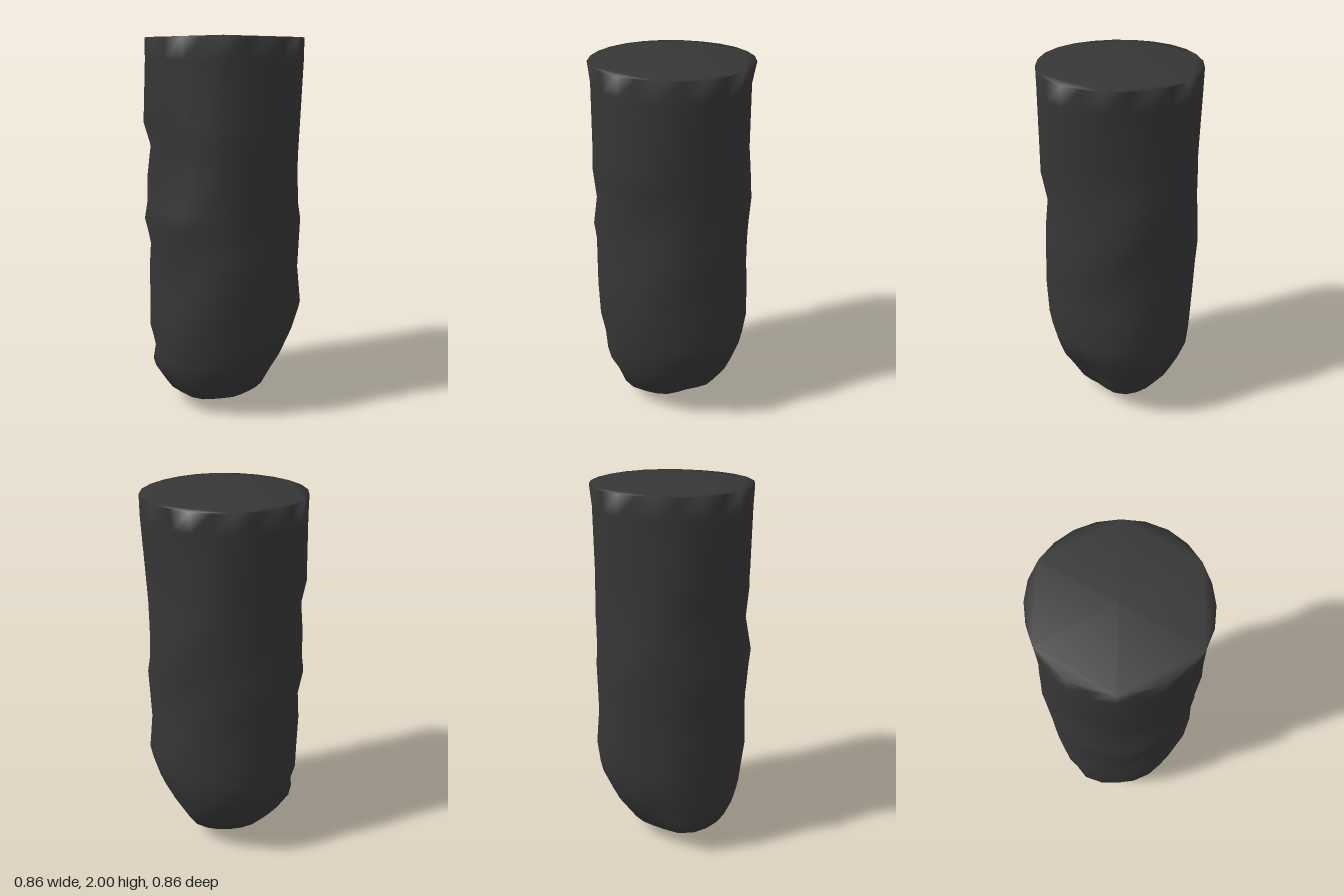
import * as THREE from 'three';

// Cross-sections from top to bottom: height, then the reach at every 45 degrees,
// starting at the front (+z) and turning through +x, -z and -x
const SECTIONS = [
  [1.985, 0.42, 0.41, 0.42, 0.41, 0.405, 0.40, 0.41, 0.41],
  [1.88, 0.405, 0.41, 0.42, 0.385, 0.40, 0.40, 0.41, 0.41],
  [1.55, 0.415, 0.41, 0.405, 0.39, 0.395, 0.395, 0.425, 0.405],
  [1.43, 0.425, 0.41, 0.40, 0.40, 0.395, 0.405, 0.39, 0.40],
  [1.27, 0.405, 0.395, 0.40, 0.415, 0.395, 0.40, 0.41, 0.395],
  [1.12, 0.42, 0.41, 0.405, 0.41, 0.40, 0.41, 0.415, 0.43],
  [1.03, 0.41, 0.41, 0.42, 0.41, 0.41, 0.41, 0.43, 0.415],
  [0.90, 0.42, 0.41, 0.415, 0.41, 0.405, 0.405, 0.40, 0.405],
  [0.75, 0.43, 0.41, 0.41, 0.41, 0.40, 0.41, 0.41, 0.395],
  [0.55, 0.41, 0.41, 0.43, 0.425, 0.425, 0.39, 0.41, 0.415],
  [0.42, 0.385, 0.39, 0.385, 0.41, 0.41, 0.375, 0.415, 0.40],
  [0.30, 0.38, 0.36, 0.30, 0.37, 0.36, 0.35, 0.385, 0.39],
  [0.21, 0.335, 0.31, 0.235, 0.33, 0.32, 0.31, 0.40, 0.37],
  [0.11, 0.30, 0.25, 0.21, 0.26, 0.25, 0.26, 0.33, 0.33],
  [0.05, 0.19, 0.17, 0.13, 0.18, 0.17, 0.18, 0.21, 0.25],
];
const SIDES = 24;
const STEP = SIDES / 8;

// Shallow folds that climb around the side and fade out at the top and bottom
function fold(a, y) {
  const fade = THREE.MathUtils.smoothstep(y, 0.1, 0.4) * (1 - THREE.MathUtils.smoothstep(y, 1.35, 1.7));
  return 0.009 * fade * Math.sin(3 * a - 9 * y + 0.8 * Math.sin(2 * a + 5 * y)) * Math.sin(2 * a) ** 2;
}

// Reach at side i, blended smoothly between the two nearest directions
function reach(radii, i) {
  const k = Math.floor(i / STEP);
  const t = THREE.MathUtils.smoothstep(i / STEP - k, 0, 1);
  return THREE.MathUtils.lerp(radii[k], radii[(k + 1) % 8], t);
}

function buildBody() {
  const pos = [];
  const index = [];
  for (const [y, ...radii] of SECTIONS) {
    for (let i = 0; i < SIDES; i++) {
      const a = (i / SIDES) * Math.PI * 2;
      const r = reach(radii, i) + fold(a, y);
      pos.push(Math.sin(a) * r, y, Math.cos(a) * r);
    }
  }
  // Wall between neighbouring sections
  for (let r = 0; r < SECTIONS.length - 1; r++) {
    for (let i = 0; i < SIDES; i++) {
      const a = r * SIDES + i;
      const b = r * SIDES + ((i + 1) % SIDES);
      const c = a + SIDES;
      const d = b + SIDES;
      index.push(a, c, b, b, c, d);
    }
  }
  const last = (SECTIONS.length - 1) * SIDES;
  const top = pos.length / 3;
  pos.push(0, 2, 0, -0.07, 0, 0.03);
  // Low domed top: narrow chords along the rim around a wide centre fan
  for (let i = 0; i < SIDES; i += 4) {
    const end = (i + 4) % SIDES;
    index.push(i, i + 1, i + 2, i + 2, i + 3, end, i, i + 2, end, top, i, end);
  }
  // Blunt tip at the bottom
  for (let i = 0; i < SIDES; i++) index.push(top + 1, last + ((i + 1) % SIDES), last + i);

  const geo = new THREE.BufferGeometry();
  geo.setAttribute('position', new THREE.Float32BufferAttribute(pos, 3));
  geo.setIndex(index);
  geo.computeVertexNormals();
  return geo;
}

export function createModel() {
  const group = new THREE.Group();
  group.name = 'wrinkledBag';
  const body = new THREE.Mesh(buildBody(), new THREE.MeshStandardMaterial({ color: 0x363636 }));
  body.name = 'bagBody';
  group.add(body);
  return group;
}
